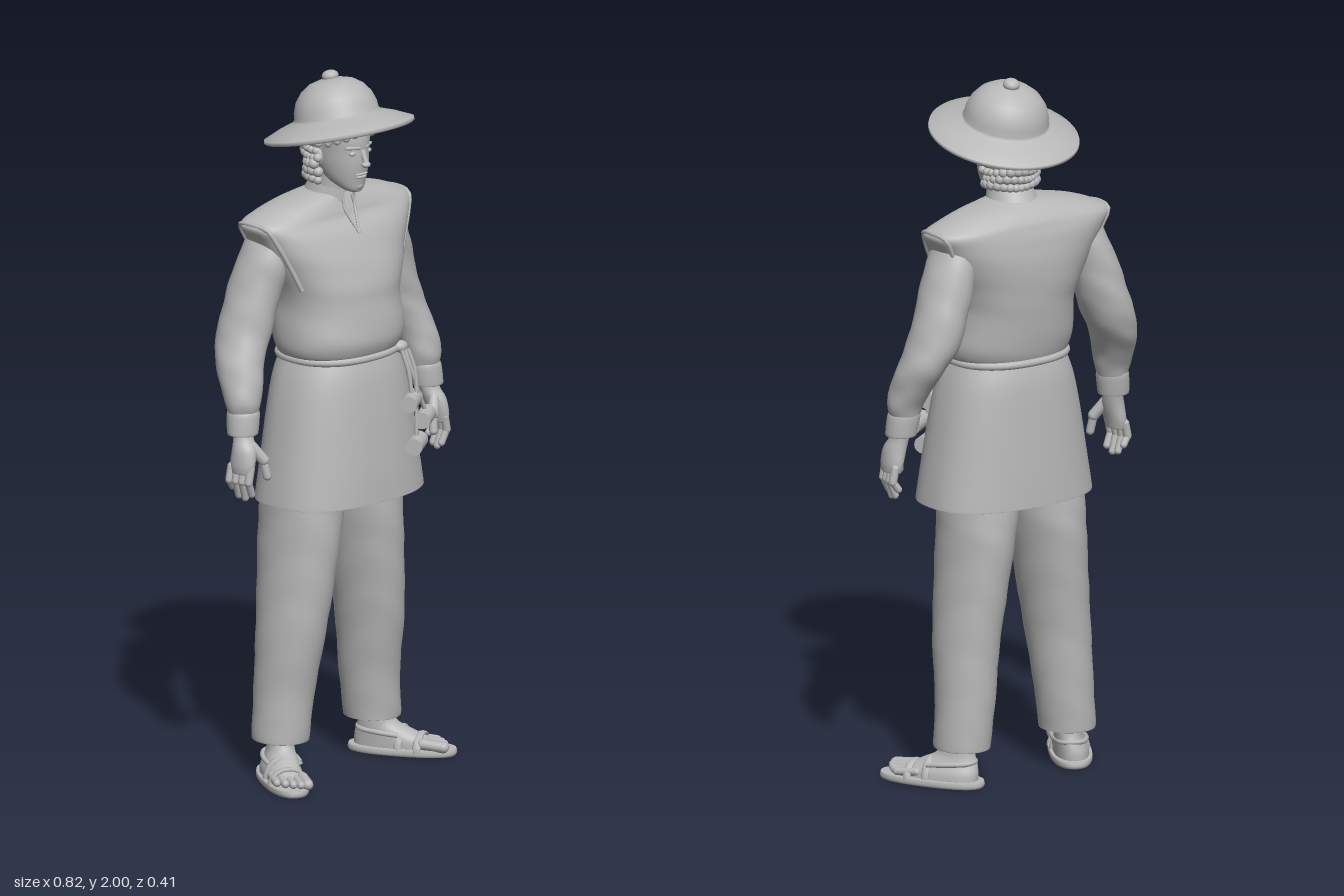
import * as THREE from 'three';

const grey = new THREE.MeshStandardMaterial({ color: 0xb8b8b8, side: THREE.DoubleSide });
grey.name = 'plain grey';

// point on a superellipse ring; s = [y, x, z, rx, rz, exponent]
function ringPoint(s, a) {
  const p = 2 / (s[5] || 2), c = Math.cos(a), d = Math.sin(a);
  return [s[1] + s[3] * Math.sign(c) * Math.abs(c) ** p, s[0], s[2] + s[4] * Math.sign(d) * Math.abs(d) ** p];
}

// smooth body through horizontal rings listed from bottom to top
function loft(rings, { caps = true, fold = 0, sub = 5, seg = 48 } = {}) {
  const rows = [], at = i => rings[Math.max(0, Math.min(rings.length - 1, i))];
  for (let i = 0; i < rings.length - 1; i++) {
    for (let k = 0; k < sub + (i === rings.length - 2 ? 1 : 0); k++) {
      const t = k / sub;
      rows.push([0, 1, 2, 3, 4, 5].map(c => {
        const [a, b, d, e] = [i - 1, i, i + 1, i + 2].map(j => at(j)[c] ?? 2);
        return b + 0.5 * t * (d - a + t * (2 * a - 5 * b + 4 * d - e + t * (3 * (b - d) + e - a)));
      }));
    }
  }
  const pos = [], index = [];
  rows.forEach(r => {
    for (let j = 0; j < seg; j++) {
      const a = j / seg * Math.PI * 2;
      const f = 1 + fold * (Math.sin(r[0] * 48 + 2 * Math.sin(a * 2)) + 0.5 * Math.sin(r[0] * 85 - 3 * a));
      pos.push(...ringPoint([r[0], r[1], r[2], r[3] * f, r[4] * f, r[5]], a));
    }
  });
  for (let i = 0; i < rows.length - 1; i++) {
    for (let j = 0; j < seg; j++) {
      const a = i * seg + j, b = i * seg + (j + 1) % seg;
      index.push(a, a + seg, b, b, a + seg, b + seg);
    }
  }
  if (caps) {
    [0, rows.length - 1].forEach(i => {
      const r = rows[i], mid = pos.length / 3;
      pos.push(r[1], r[0], r[2]);
      for (let j = 0; j < seg; j++) {
        const a = i * seg + j, b = i * seg + (j + 1) % seg;
        index.push(mid, ...(i ? [b, a] : [a, b]));
      }
    });
  }
  const g = new THREE.BufferGeometry();
  g.setAttribute('position', new THREE.Float32BufferAttribute(pos, 3));
  g.setIndex(index);
  g.computeVertexNormals();
  return g;
}

function add(parent, name, geometry, x = 0, y = 0, z = 0) {
  const m = new THREE.Mesh(geometry, grey);
  m.name = name;
  m.position.set(x, y, z);
  parent.add(m);
  return m;
}
const vec = p => new THREE.Vector3(...p);
const cord = (points, r, closed = false) =>
  new THREE.TubeGeometry(new THREE.CatmullRomCurve3(points.map(vec), closed), closed ? 64 : 28, r, 8, closed);
function ball(parent, name, p, sx, sy, sz) {
  const m = add(parent, name, new THREE.SphereGeometry(1, 20, 14), ...p);
  m.scale.set(sx, sy, sz);
  return m;
}
// rounded rod between two points
function rod(parent, name, p, q, r) {
  const a = vec(p), b = vec(q), d = b.clone().sub(a);
  const m = add(parent, name, new THREE.CapsuleGeometry(r, d.length(), 5, 10), ...a.add(b).multiplyScalar(0.5));
  m.quaternion.setFromUnitVectors(new THREE.Vector3(0, 1, 0), d.normalize());
}

function buildHat(root) {
  const hat = new THREE.Group();
  hat.name = 'hat';
  hat.position.set(0, 1.841, -0.001);
  hat.rotation.x = -0.235;
  root.add(hat);
  const profile = [[0.1, 0.012], [0.205, -0.012], [0.212, -0.008], [0.211, 0.001], [0.165, 0.022], [0.124, 0.036], [0.119, 0.043],
    [0.117, 0.062], [0.107, 0.09], [0.088, 0.115], [0.062, 0.133], [0.03, 0.142], [0.001, 0.144]];
  add(hat, 'brim and crown', new THREE.LatheGeometry(profile.map(p => new THREE.Vector2(...p)), 64));
  ball(hat, 'knob', [0, 0.149, 0], 0.024, 0.017, 0.024);
}

function buildHead(root) {
  const head = new THREE.Group();
  head.name = 'head';
  root.add(head);
  add(head, 'neck', loft([[1.58, 0, -0.04, 0.06, 0.06], [1.66, 0, -0.03, 0.05, 0.053], [1.75, 0, -0.025, 0.05, 0.055]]));
  add(head, 'skull', loft([[1.675, 0, 0.06, 0.018, 0.018], [1.685, 0, 0.048, 0.034, 0.035], [1.71, 0, 0.025, 0.052, 0.063],
    [1.75, 0, 0.008, 0.064, 0.087], [1.79, 0, 0, 0.069, 0.096], [1.84, 0, -0.005, 0.073, 0.1], [1.9, 0, -0.015, 0.065, 0.09]]));
  rod(head, 'noseBridge', [0, 1.792, 0.093], [0, 1.762, 0.106], 0.008);
  ball(head, 'noseTip', [0, 1.758, 0.105], 0.014, 0.009, 0.013);
  ball(head, 'upperLip', [0, 1.729, 0.089], 0.023, 0.004, 0.008);
  ball(head, 'lowerLip', [0, 1.72, 0.086], 0.019, 0.005, 0.009);
  ball(head, 'chin', [0, 1.693, 0.072], 0.02, 0.015, 0.014);
  for (const s of [-1, 1]) {
    ball(head, 'eye', [s * 0.029, 1.79, 0.083], 0.013, 0.007, 0.008);
    rod(head, 'eyebrow', [s * 0.015, 1.806, 0.092], [s * 0.045, 1.807, 0.077], 0.005);
    ball(head, 'ear', [s * 0.072, 1.775, -0.01], 0.009, 0.026, 0.016).rotation.x = -0.2;
    for (let k = 0; k < 4; k++) { // fringe locks swept to the sides
      const a = 0.15 + k * 0.28, b = a + 0.24;
      rod(head, 'fringe', [s * Math.sin(a) * 0.073, 1.868, Math.cos(a) * 0.095],
        [s * Math.sin(b) * 0.08, 1.846 - k * 0.009, Math.cos(b) * 0.099], 0.011);
    }
  }
  ball(head, 'hair', [0, 1.805, -0.03], 0.078, 0.085, 0.081);
  // curls from one temple round the back to the other
  for (let row = 0; row < 6; row++) {
    for (let k = 0; k < 15; k++) {
      const a = (k + (row % 2) / 2) / 14.5 * 3.5 - 0.18, taper = row < 2 ? 0.88 + row * 0.06 : 1;
      const wobble = 0.005 * Math.sin(k * 7 + row * 5), r = 0.0135 + 0.4 * wobble;
      ball(head, 'curl', [Math.cos(a) * (0.08 * taper + wobble), 1.705 + row * 0.022 + wobble, -0.02 - Math.sin(a) * (0.082 * taper + wobble)],
        r, r, r);
    }
  }
}

function buildClothes(root) {
  const tunic = [[1.205, 0, -0.005, 0.168, 0.13, 2.3], [1.225, 0, -0.003, 0.186, 0.143, 2.3], [1.27, 0, -0.004, 0.195, 0.154, 2.3],
    [1.36, 0, -0.016, 0.19, 0.154, 2.3], [1.42, 0, -0.023, 0.205, 0.154, 2.35], [1.5, 0, -0.038, 0.242, 0.142, 2.5],
    [1.56, 0, -0.049, 0.273, 0.125, 2.7], [1.598, 0, -0.058, 0.292, 0.106, 2.8], [1.62, 0, -0.058, 0.262, 0.098, 2.5],
    [1.644, 0, -0.053, 0.195, 0.084, 2.2], [1.66, 0, -0.045, 0.11, 0.07], [1.668, 0, -0.04, 0.065, 0.06]];
  add(root, 'tunic', loft(tunic, { fold: 0.004 }));
  add(root, 'skirt', loft([[0.8, 0, 0, 0.256, 0.175, 2.5], [0.81, 0, 0, 0.256, 0.175, 2.5], [0.9, 0, 0, 0.243, 0.171, 2.4],
    [1.05, 0, -0.002, 0.217, 0.16, 2.4], [1.15, 0, -0.004, 0.193, 0.15, 2.4], [1.215, 0, -0.005, 0.168, 0.135, 2.3]], { caps: false }));

  // standing collar, higher at the back, open at the throat
  const collar = new THREE.CylinderGeometry(0.062, 0.077, 0.055, 40, 4, true, 0.22, Math.PI * 2 - 0.44);
  add(root, 'collar', collar, 0, 1.667, -0.03).rotation.x = 0.28;
  const armhole = tunic.slice(4, 8);
  for (const s of [-1, 1]) {
    add(root, 'neckSlitEdge', cord([[s * 0.016, 1.655, 0.034], [s * 0.02, 1.625, 0.04], [s * 0.011, 1.59, 0.059], [0, 1.555, 0.08]], 0.004));
    // raised hem following the tunic round each shoulder opening
    const edge = a => armhole.map(r => ringPoint(r, a)).map(([x, y, z]) => [x * s, y, z]);
    add(root, 'shoulderHem', cord([...edge(0.4), [s * 0.284, 1.607, -0.058], ...edge(-0.4).reverse()], 0.007));
  }

  // rope belt, knot and hanging cylinders
  const belt = [];
  for (let i = 0; i < 32; i++) belt.push(ringPoint([1.209, 0, -0.005, 0.175, 0.14, 2.3], i / 16 * Math.PI));
  add(root, 'belt', cord(belt, 0.011, true));
  ball(root, 'beltKnot', [0.122, 1.212, 0.116], 0.024, 0.017, 0.02);
  const pendants = [[0.132, 1.06, 0.152], [0.192, 1.0, 0.144], [0.147, 0.935, 0.157]];
  pendants.forEach(([x, y, z], i) => {
    const p = add(root, 'pendant', new THREE.CylinderGeometry(0.024, 0.024, 0.09, 20), x, y, z);
    p.rotation.set(0, 0.6, Math.PI / 2, 'YXZ');
    const top = 0.115 + i * 0.012;
    add(root, 'pendantCord', cord([[top, 1.205, 0.13], [top + 0.012, 1.14, 0.146], [x, y + 0.02, z]], 0.006));
  });
}

function buildLimbs(root, s) {
  const side = s > 0 ? 'left' : 'right';
  const ring = (y, x, z, rx, rz, n) => [y, x * s, z, rx, rz, n];
  add(root, side + 'Sleeve', loft([ring(1.085, 0.353, -0.022, 0.043, 0.04), ring(1.12, 0.352, -0.024, 0.053, 0.05),
    ring(1.17, 0.343, -0.04, 0.058, 0.062), ring(1.23, 0.325, -0.064, 0.067, 0.073), ring(1.3, 0.294, -0.078, 0.073, 0.079),
    ring(1.4, 0.261, -0.076, 0.073, 0.08), ring(1.5, 0.229, -0.065, 0.068, 0.08), ring(1.57, 0.205, -0.06, 0.058, 0.068)], { fold: 0.018 }));
  add(root, side + 'Cuff', loft([ring(1.03, 0.361, -0.016, 0.042, 0.04), ring(1.037, 0.361, -0.016, 0.045, 0.043),
    ring(1.085, 0.355, -0.02, 0.047, 0.045), ring(1.1, 0.353, -0.022, 0.042, 0.04)]));

  // hand hanging with slightly curled fingers
  add(root, side + 'Palm', loft([ring(0.925, 0.381, 0.002, 0.022, 0.037), ring(0.95, 0.379, 0.002, 0.026, 0.042),
    ring(0.99, 0.371, 0, 0.03, 0.038), ring(1.02, 0.364, -0.01, 0.028, 0.029), ring(1.05, 0.36, -0.016, 0.026, 0.028)], { seg: 24 }));
  for (let k = 0; k < 4; k++) {
    const z = 0.033 - k * 0.021, tip = [0.866, 0.853, 0.858, 0.88][k], x = 0.379 + k * 0.004;
    rod(root, side + 'Finger', [s * x, 0.94, z], [s * (x + 0.008), 0.902, z], 0.012);
    rod(root, side + 'Finger', [s * (x + 0.008), 0.902, z], [s * (x - 0.008), tip, z - 0.004], 0.0105);
  }
  rod(root, side + 'Thumb', [s * 0.356, 0.998, 0.015], [s * 0.331, 0.958, 0.036], 0.016);
  rod(root, side + 'Thumb', [s * 0.331, 0.958, 0.036], [s * 0.325, 0.912, 0.044], 0.012);

  add(root, side + 'Trouser', loft([ring(0.108, 0.178, -0.051, 0.076, 0.082), ring(0.125, 0.178, -0.051, 0.078, 0.084),
    ring(0.25, 0.166, -0.049, 0.082, 0.09), ring(0.4, 0.155, -0.037, 0.088, 0.105), ring(0.55, 0.138, -0.034, 0.093, 0.12),
    ring(0.7, 0.121, -0.034, 0.1, 0.131), ring(0.8, 0.111, -0.031, 0.106, 0.129), ring(0.9, 0.104, -0.022, 0.1, 0.125),
    ring(1.0, 0.095, -0.012, 0.09, 0.11)], { fold: 0.008 }));

  // sandalled foot, toes turned out
  const foot = new THREE.Group();
  foot.name = side + 'Foot';
  foot.position.set(s * 0.229, 0, 0.016);
  foot.rotation.y = s * 0.52;
  root.add(foot);
  const f = (y, x, z, rx, rz, n) => [y, x * s, z, rx, rz, n];
  add(foot, 'sole', loft([f(0, 0.006, 0, 0.057, 0.152, 2.4), f(0.008, 0.006, 0, 0.06, 0.156, 2.4), f(0.02, 0.006, 0, 0.058, 0.153, 2.4)], { sub: 2 }));
  add(foot, 'instep', loft([f(0.018, 0.006, -0.022, 0.05, 0.115, 2.3), f(0.04, 0.004, -0.026, 0.049, 0.111, 2.2),
    f(0.065, -0.002, -0.048, 0.043, 0.084), f(0.09, -0.006, -0.067, 0.038, 0.056), f(0.14, -0.008, -0.074, 0.036, 0.042)]));
  for (let k = 0; k < 5; k++) {
    const x = s * (-0.032 + k * 0.0195), r = k ? 0.0115 : 0.016, z = [0.128, 0.129, 0.12, 0.107, 0.09][k];
    rod(foot, 'toe', [x, 0.035, z - 0.06], [x, 0.03, z], r);
  }
  // straps arching over the foot and round the heel
  for (const [z, h, w] of [[0.055, 0.057, 0.053], [0.0, 0.073, 0.052]]) {
    const arch = add(foot, 'strap', new THREE.TorusGeometry(1, 0.12, 8, 24, Math.PI), 0.005 * s, 0.012, z);
    arch.scale.set(w, h - 0.012, 0.1);
  }
  add(foot, 'heelStrap', cord([[-0.045, 0.058, 0], [-0.046, 0.064, -0.06], [-0.028, 0.068, -0.114], [0, 0.07, -0.126],
    [0.026, 0.068, -0.114], [0.044, 0.064, -0.06], [0.046, 0.058, 0]], 0.007));
}

export function createModel() {
  const root = new THREE.Group();
  root.name = 'standingFigure';
  buildHat(root);
  buildHead(root);
  buildClothes(root);
  for (const s of [-1, 1]) buildLimbs(root, s);
  return root;
}
